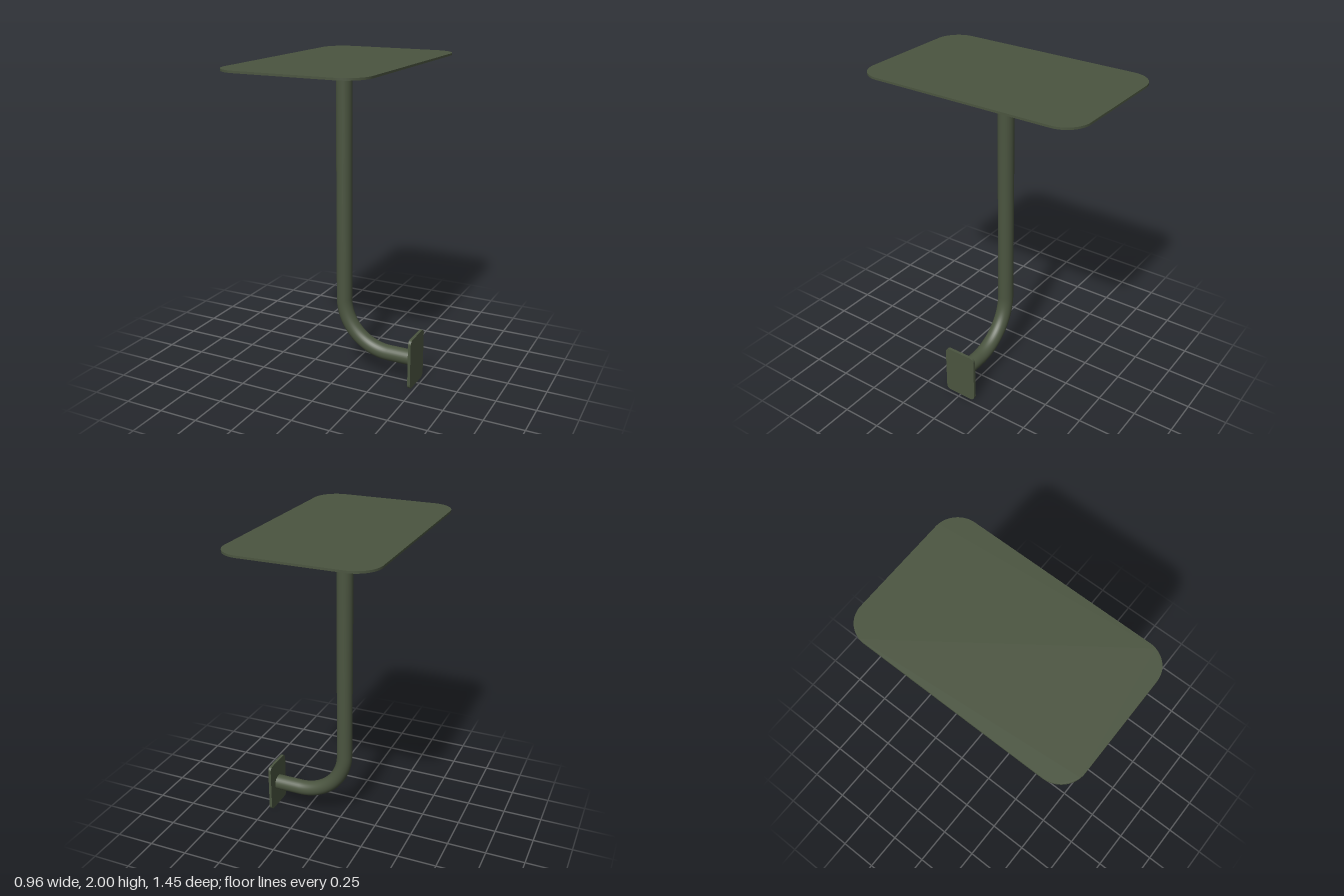
import * as THREE from 'three';

const paint = new THREE.MeshStandardMaterial({ color: 0x4b5540 });
const POST_X = -0.03, PIPE_R = 0.05, ARM_Y = 0.167, BEND_R = 0.32;

function part(group, name, geometry, x = 0, y = 0, z = 0) {
  const mesh = new THREE.Mesh(geometry, paint);
  mesh.name = name;
  mesh.position.set(x, y, z);
  group.add(mesh);
  return mesh;
}

// Rounded rectangle, w by h, extruded by depth and centred on the origin
function roundedPlate(w, h, r, depth) {
  const a = w / 2, b = h / 2;
  const s = new THREE.Shape();
  s.moveTo(a, -b + r);
  s.absarc(a - r, b - r, r, 0, Math.PI / 2);
  s.absarc(-a + r, b - r, r, Math.PI / 2, Math.PI);
  s.absarc(-a + r, -b + r, r, Math.PI, Math.PI * 1.5);
  s.absarc(a - r, -b + r, r, Math.PI * 1.5, Math.PI * 2);
  return new THREE.ExtrudeGeometry(s, { depth, bevelEnabled: false, curveSegments: 16 })
    .translate(0, 0, -depth / 2);
}

export function createModel() {
  const model = new THREE.Group();
  model.name = 'wallBracketTable';

  // Table top and the mounting plate under it
  part(model, 'tableTop', roundedPlate(0.904, 1.45, 0.15, 0.013).rotateX(Math.PI / 2), -0.028, 1.9935, 0);
  part(model, 'mountingPlate', roundedPlate(0.22, 0.33, 0.03, 0.012).rotateX(Math.PI / 2), POST_X, 1.981, 0);

  // Bolt heads at the mounting plate corners
  const bolt = new THREE.CylinderGeometry(0.013, 0.013, 0.012, 16);
  for (const sx of [-1, 1])
    for (const sz of [-1, 1])
      part(model, 'boltHead', bolt, POST_X + sx * 0.075, 1.97, sz * 0.13);

  // Straight post, quarter bend and short arm, sharing one radius
  const postBottom = ARM_Y + BEND_R, postTop = 1.98;
  part(model, 'post', new THREE.CylinderGeometry(PIPE_R, PIPE_R, postTop - postBottom, 32, 1, true),
    POST_X, (postTop + postBottom) / 2, 0);
  const bend = new THREE.TorusGeometry(BEND_R, PIPE_R, 32, 32, Math.PI / 2).rotateZ(Math.PI);
  part(model, 'pipeBend', bend, POST_X + BEND_R, postBottom, 0);
  const armStart = POST_X + BEND_R, armEnd = 0.465;
  part(model, 'arm', new THREE.CylinderGeometry(PIPE_R, PIPE_R, armEnd - armStart, 32, 1, true).rotateZ(Math.PI / 2),
    (armStart + armEnd) / 2, ARM_Y, 0);

  // Upright plate at the end of the arm
  part(model, 'wallPlate', roundedPlate(0.216, 0.33, 0.03, 0.018).rotateY(Math.PI / 2), 0.469, 0.165, 0);

  return model;
}
